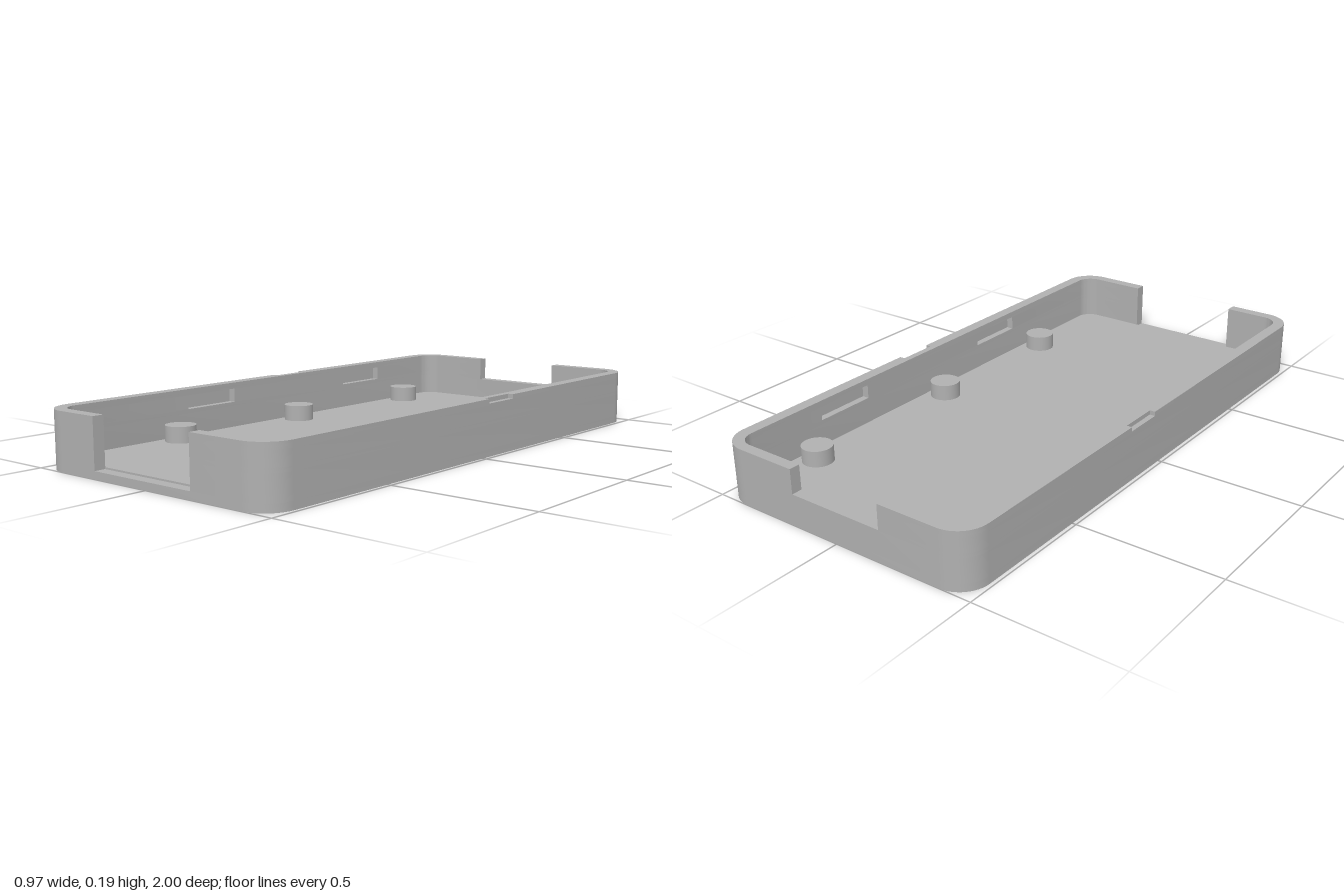
import * as THREE from 'three';
import { toCreasedNormals } from 'three/addons/utils/BufferGeometryUtils.js';

const H = 0.192, FLOOR = 0.032, SILL = 0.026, BACK_SILL = 0.108;
const V = (x, y) => new THREE.Vector2(x, y);

// Points along an arc, angles in degrees
function arc(cx, cy, r, a0, a1, n = 12) {
  return Array.from({ length: n + 1 }, (_, i) => {
    const a = THREE.MathUtils.degToRad(a0 + (a1 - a0) * i / n);
    return V(cx + r * Math.cos(a), cy + r * Math.sin(a));
  });
}

// Extrude a plan outline (x, -z) between two heights
function slab(points, y0, y1) {
  const geo = new THREE.ExtrudeGeometry(new THREE.Shape(points), { depth: y1 - y0, bevelEnabled: false });
  geo.rotateX(-Math.PI / 2).translate(0, y0, 0);
  return toCreasedNormals(geo, 0.5);
}

function roundedRect(w, d, r) {
  const x = w - r, z = d - r;
  return [...arc(x, z, r, 90, 0), ...arc(x, -z, r, 0, -90), ...arc(-x, -z, r, -90, -180), ...arc(-x, z, r, 180, 90)];
}

// Plan of one half of the wall, from the back gap round to the front opening
function wallPlan(side, { gap, slots, notch }) {
  const front = side > 0 ? 0.19 : 0.23;
  const pts = [V(gap, 1), ...arc(0.387, 0.9, 0.1, 90, 0)];
  if (notch) pts.push(V(0.487, 0.175), V(0.468, 0.175), V(0.468, 0.035), V(0.487, 0.035));
  pts.push(...arc(0.387, -0.9, 0.1, 0, -90), V(front, -1), V(front, -0.96));
  pts.push(...arc(0.387, -0.902, 0.058, -90, 0));
  if (slots) {
    for (const [a, b] of [[-0.43, -0.21], [0.39, 0.61]]) {
      pts.push(V(0.445, a), V(0.47, a), V(0.47, b), V(0.445, b));
    }
  }
  pts.push(...arc(0.387, 0.905, 0.058, 0, 90), V(gap, 0.963));
  return pts.map(p => V(p.x * side, p.y));
}

export function createModel() {
  const model = new THREE.Group();
  model.name = 'tray';
  const grey = new THREE.MeshStandardMaterial({ color: 0xb0b0b0 });
  grey.name = 'grey plastic';
  const add = (name, geo, parent = model) => {
    const mesh = new THREE.Mesh(geo, grey);
    mesh.name = name;
    parent.add(mesh);
    return mesh;
  };

  // Base plate and the slightly raised inner floor
  add('base', slab(roundedRect(0.487, 1, 0.1), 0, SILL));
  add('floor', slab(roundedRect(0.445, 0.961, 0.058), SILL, FLOOR));

  // Walls in height bands: back sill, inner clip slots, outer rim notch
  const gap = 0.172;
  const bands = [
    [SILL, BACK_SILL, { gap: 0 }],
    [BACK_SILL, 0.122, { gap }],
    [0.122, 0.17, { gap, slots: true }],
    [0.17, 0.177, { gap }],
    [0.177, H, { gap, notch: true }],
  ];
  for (const side of [1, -1]) {
    const wall = new THREE.Group();
    wall.name = side > 0 ? 'leftWall' : 'rightWall';
    bands.forEach(([y0, y1, cuts]) => add('wallBand', slab(wallPlan(side, cuts), y0, y1), wall));
    model.add(wall);
  }

  // Six support posts
  const top = 0.088;
  for (const x of [-0.38, 0.38]) {
    for (const z of [-0.7, -0.06, 0.525]) {
      add('post', new THREE.CylinderGeometry(0.053, 0.053, top - FLOOR, 40))
        .position.set(x, (top + FLOOR) / 2, z);
    }
  }
  return model;
}
